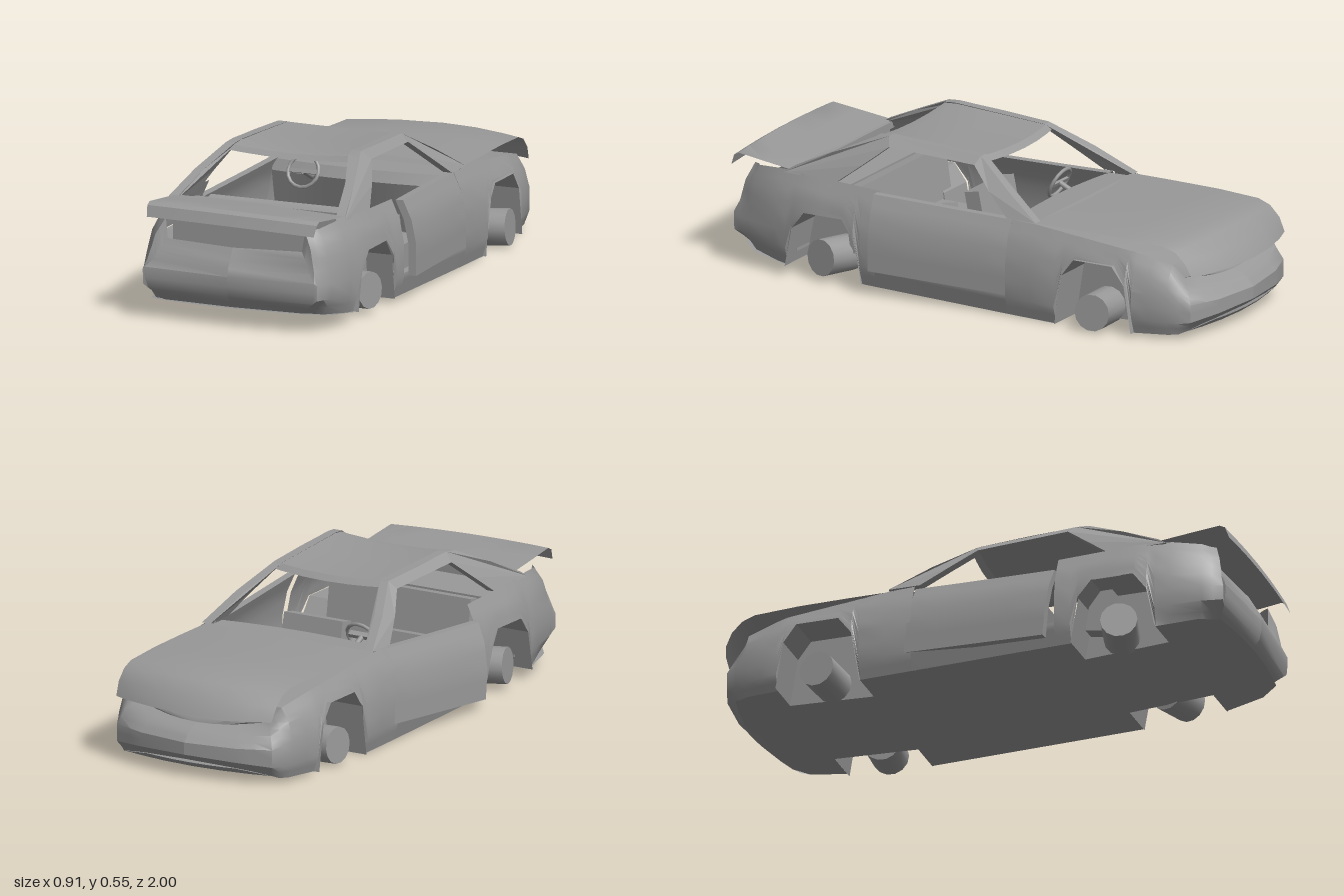
import * as THREE from 'three';
import { toCreasedNormals } from 'three/addons/utils/BufferGeometryUtils.js';

const mat = new THREE.MeshStandardMaterial({ color: 0x999999, side: THREE.DoubleSide });

// Piecewise linear lookup in a table of [key, value]
function look(table, k) {
  if (k <= table[0][0]) return table[0][1];
  for (let i = 1; i < table.length; i++) {
    const [a, va] = table[i - 1], [b, vb] = table[i];
    if (k <= b) return va + (vb - va) * (k - a) / (b - a);
  }
  return table[table.length - 1][1];
}

// Body rules along z: half width, lower edge, upper edge; inset by height fraction
const WIDTH = [[-1, 0], [-0.975, 0.2], [-0.93, 0.33], [-0.85, 0.37], [-0.7, 0.4], [-0.2, 0.41],
  [0.65, 0.41], [0.9, 0.37], [0.975, 0.345], [0.98, 0.335], [1, 0]];
const LOW = [[-1, 0.07], [-0.9, 0.03], [-0.4, 0.01], [0.4, 0.03], [0.72, 0.05], [0.9, 0.07], [1, 0.08]];
const HIGH = [[-1, 0.2], [-0.93, 0.23], [-0.85, 0.285], [-0.7, 0.32], [-0.3, 0.36], [0, 0.37],
  [0.5, 0.39], [0.75, 0.4], [0.9, 0.385], [0.975, 0.38], [0.98, 0.305], [1, 0.3]];
const INSET = [[0, 0.02], [0.2, 0], [0.55, 0], [0.8, 0.018], [1, 0.05]];
const ROWS = [0, 0.1, 0.2, 0.38, 0.55, 0.68, 0.8, 0.9, 1];
const ARCH = [[-0.16, 0], [-0.13, 0.2], [-0.08, 0.265], [0.08, 0.265], [0.13, 0.2], [0.16, 0]];
const WHEEL_Z = [0.57, -0.56];
// Roof side: outer x by height, and how much it narrows toward the front
const RAIL = [[0.36, 0.365], [0.4, 0.355], [0.52, 0.295], [0.56, 0.25]];
const TAPER = [[0, 0.03], [0.35, 0]];

function archY(z) {
  for (const c of WHEEL_Z) if (Math.abs(z - c) < 0.16) return look(ARCH, z - c);
  return 0;
}

function bodyPoint(z, f, side, extra = 0) {
  const lo = look(LOW, z), hi = look(HIGH, z), w = look(WIDTH, z), y = lo + (hi - lo) * f;
  const nz = Math.min(1, Math.max(0, (Math.abs(z) - 0.86) / 0.1)) * Math.sign(z);
  let inset = look(INSET, f) + extra;
  // Bumper step and tuck-under at the tail
  if (nz > 0) inset += nz * ((y > 0.23 ? 0.02 : 0) + Math.max(0, 0.14 - y) * 0.7);
  return [side * (w - inset * Math.min(1, w / 0.3)), y, z - inset * nz * (z < 0 ? 1.6 : 0.7)];
}

// Sheet through columns of points
function sheet(cols, crease = 0.6) {
  const pos = cols.flat(2), n = cols[0].length, idx = [];
  for (let i = 0; i + 1 < cols.length; i++) for (let j = 0; j + 1 < n; j++) {
    const a = i * n + j, b = a + n;
    idx.push(a, b, a + 1, b, b + 1, a + 1);
  }
  const g = new THREE.BufferGeometry();
  g.setAttribute('position', new THREE.Float32BufferAttribute(pos, 3));
  g.setIndex(idx);
  return toCreasedNormals(g, crease);
}

function add(parent, name, geo, x = 0, y = 0, z = 0) {
  const m = new THREE.Mesh(geo, mat);
  m.name = name;
  m.position.set(x, y, z);
  parent.add(m);
  return m;
}

const box = (p, name, w, h, d, x, y, z) => add(p, name, new THREE.BoxGeometry(w, h, d), x, y, z);

function bodySide(zs, side, f1 = 1) {
  const cols = zs.map(z => {
    const lo = look(LOW, z), f0 = Math.max(0, (archY(z) - lo) / (look(HIGH, z) - lo));
    return ROWS.map(r => bodyPoint(z, f0 + (f1 - f0) * r, side));
  });
  return sheet(side > 0 ? cols : cols.reverse());
}

// Door with thickness, closed at its rear end
function doorGeometry(side) {
  const zs = [0.35, 0.2, 0, -0.1, -0.2], fs = [0.22, 0.4, 0.55, 0.7, 0.8, 0.9, 1];
  const loop = (z, outer) => {
    const out = fs.map(f => bodyPoint(z, f, side, outer ? 0 : 0.03));
    const inn = fs.map(f => bodyPoint(z, f, side, 0.03)).reverse();
    return [...out, ...inn, out[0]];
  };
  const cols = [loop(0.35, false), ...zs.map(z => loop(z, true))];
  return sheet(side > 0 ? cols : cols.reverse());
}

// Roof rail with both pillars, leaning inward with height
function pillarGeometry(side) {
  const outline = [[0.76, 0.39], [0.73, 0.412], [0.58, 0.482], [0.43, 0.552], [0.38, 0.558], [0, 0.54], [-0.15, 0.455],
    [-0.3, 0.365], [-0.18, 0.365], [-0.08, 0.44], [0.01, 0.513], [0.36, 0.528], [0.45, 0.455], [0.54, 0.385]];
  const shape = new THREE.Shape(outline.map(p => new THREE.Vector2(...p)));
  const g = new THREE.ExtrudeGeometry(shape, { depth: 0.035, bevelEnabled: false });
  const p = g.attributes.position;
  for (let i = 0; i < p.count; i++) {
    const z = p.getX(i), y = p.getY(i), d = p.getZ(i);
    p.setXYZ(i, side * (look(RAIL, y) - look(TAPER, z) * (y - 0.36) / 0.18 - d), y, z);
  }
  g.computeVertexNormals();
  return g;
}

// Panel spanning the car: rows of [z, y, halfWidth, bow in z, crown in y]
function span(rows) {
  const us = [-1, -0.75, -0.4, 0, 0.4, 0.75, 1];
  return sheet(rows.map(([z, y, w, bow = 0, crown = 0]) =>
    us.map(u => [u * w, y + crown * (1 - u * u), z + bow * (1 - u * u)])));
}

export function createModel() {
  const car = new THREE.Group();
  car.name = 'car';

  const rearZ = [1, 0.98, 0.975, 0.94, 0.9, 0.78, 0.73, 0.7, 0.65, 0.57, 0.49, 0.44, 0.41, 0.35];
  const sillZ = [0.35, 0.1, -0.2];
  const frontZ = [-0.2, -0.3, -0.4, -0.43, -0.48, -0.56, -0.64, -0.69, -0.72, -0.78, -0.85, -0.89, -0.93, -0.955, -0.975, -1];

  for (const s of [1, -1]) {
    add(car, 'rearBodySide', bodySide(rearZ, s));
    add(car, 'sill', bodySide(sillZ, s, 0.24));
    add(car, 'frontBodySide', bodySide(frontZ, s));
    add(car, 'roofPillars', pillarGeometry(s));

    // Door swung ajar on its front hinge; one of them sags
    const hinge = new THREE.Group();
    hinge.name = 'door';
    hinge.position.set(s * 0.41, s > 0 ? 0.37 : 0.36, -0.2);
    hinge.rotation.set(s > 0 ? 0 : 0.09, s * 0.085, 0);
    add(hinge, 'doorPanel', doorGeometry(s), -s * 0.41, -0.37, 0.2);
    car.add(hinge);

    // Wheel wells and bare hubs, one hub knocked outward
    for (const c of WHEEL_Z) {
      const arch = ARCH.map(([d, y]) => [c + d, Math.max(y, look(LOW, c + d))]);
      add(car, 'wheelWell', sheet(arch.map(([z, y]) => [[s * 0.4, y, z], [s * 0.24, y, z]]), 0.1));
      const wall = new THREE.Shape(arch.map(([z, y]) => new THREE.Vector2(z, y)));
      add(car, 'wheelWellWall', new THREE.ShapeGeometry(wall), s * 0.24).rotation.y = -Math.PI / 2;
      const hub = add(car, 'wheelHub', toCreasedNormals(new THREE.CylinderGeometry(0.068, 0.068, 0.15, 14), 0.6),
        s * (c < 0 && s > 0 ? 0.345 : 0.31), c > 0 ? 0.095 : 0.08, c);
      hub.rotation.set(0, c > 0 ? -s * 0.25 : s * 0.12, Math.PI / 2 + s * 0.06);
    }
  }

  // Floor, narrowed between the wheels
  add(car, 'floor', span([[0.95, 0.08, 0.3, 0.025], [0.88, 0.068, 0.355], [0.73, 0.05, 0.385], [0.73, 0.05, 0.24],
    [0.41, 0.03, 0.24], [0.41, 0.03, 0.39], [-0.4, 0.01, 0.39], [-0.4, 0.01, 0.24], [-0.72, 0.022, 0.24],
    [-0.72, 0.022, 0.375], [-0.85, 0.028, 0.35], [-0.905, 0.04, 0.31, -0.04], [-0.95, 0.06, 0.187, -0.018]]));

  // Roof, sagging along the middle
  add(car, 'roof', span([[0.445, 0.53, 0.255, 0, -0.012], [0.43, 0.551, 0.258, 0, -0.016], [0.38, 0.557, 0.252, 0, -0.015],
    [0.2, 0.55, 0.25, 0, -0.012], [0, 0.54, 0.243, -0.02, -0.008], [-0.02, 0.52, 0.24, -0.02, -0.008]]));

  // Lifted hood and the closed panel beneath it
  add(car, 'hood', span([[-0.28, 0.362, 0.35, -0.04, 0.008], [-0.45, 0.362, 0.35, 0, 0.01], [-0.65, 0.362, 0.345, 0, 0.014],
    [-0.82, 0.355, 0.34, -0.02, 0.018], [-0.87, 0.338, 0.337, -0.04, 0.018], [-0.91, 0.3, 0.335, -0.055, 0.012],
    [-0.935, 0.25, 0.33, -0.065, 0]]));
  add(car, 'engineCover', span([[-0.28, 0.358, 0.36], [-0.5, 0.34, 0.355], [-0.7, 0.32, 0.35], [-0.85, 0.285, 0.32],
    [-0.874, 0.23, 0.28, -0.04, -0.015], [-0.895, 0.21, 0.167, -0.025, -0.01]]));

  // Raised trunk lid with its lip, and the trunk inside
  const lid = add(car, 'trunkLid', span([[0.71, 0.405, 0.34, 0, 0.005], [0.85, 0.422, 0.338, 0, 0.006],
    [0.955, 0.435, 0.335, 0.01, 0.005], [0.975, 0.425, 0.335, 0.01, 0.004], [0.99, 0.385, 0.33, 0.01, 0.004]]));
  lid.rotation.z = -0.02;
  box(car, 'trunkBackWall', 0.66, 0.3, 0.02, 0, 0.24, 0.73);
  box(car, 'trunkFloor', 0.62, 0.02, 0.22, 0, 0.2, 0.84);
  box(car, 'rearWindowSill', 0.67, 0.025, 0.03, 0, 0.397, 0.715);

  // Interior
  box(car, 'parcelShelf', 0.68, 0.02, 0.2, 0, 0.355, 0.615);
  box(car, 'rearSeatBack', 0.6, 0.25, 0.08, 0, 0.235, 0.49).rotation.x = 0.15;
  box(car, 'rearSeatCushion', 0.46, 0.1, 0.18, 0, 0.13, 0.38);
  add(car, 'dashboard', span([[-0.3, 0.355, 0.34], [-0.19, 0.35, 0.345, 0.03], [-0.17, 0.31, 0.345, 0.03], [-0.21, 0.12, 0.345]]));
  box(car, 'firewall', 0.7, 0.32, 0.015, 0, 0.19, -0.29);
  for (const s of [1, -1]) {
    box(car, 'frontSeatCushion', 0.23, 0.09, 0.22, s * 0.2, 0.12, 0.08);
    box(car, 'frontSeatBack', 0.25, 0.17, 0.06, s * 0.2, 0.2, 0.21).rotation.x = 0.2;
  }
  const wheel = new THREE.Group();
  wheel.name = 'steeringWheel';
  wheel.position.set(-0.18, 0.34, -0.08);
  wheel.rotation.x = -0.45;
  add(wheel, 'rim', new THREE.TorusGeometry(0.06, 0.007, 6, 16));
  box(wheel, 'spokes', 0.11, 0.015, 0.01, 0, 0, 0);
  add(wheel, 'column', new THREE.CylinderGeometry(0.01, 0.01, 0.12, 8), 0, 0, -0.06).rotation.x = Math.PI / 2;
  car.add(wheel);

  return car;
}
